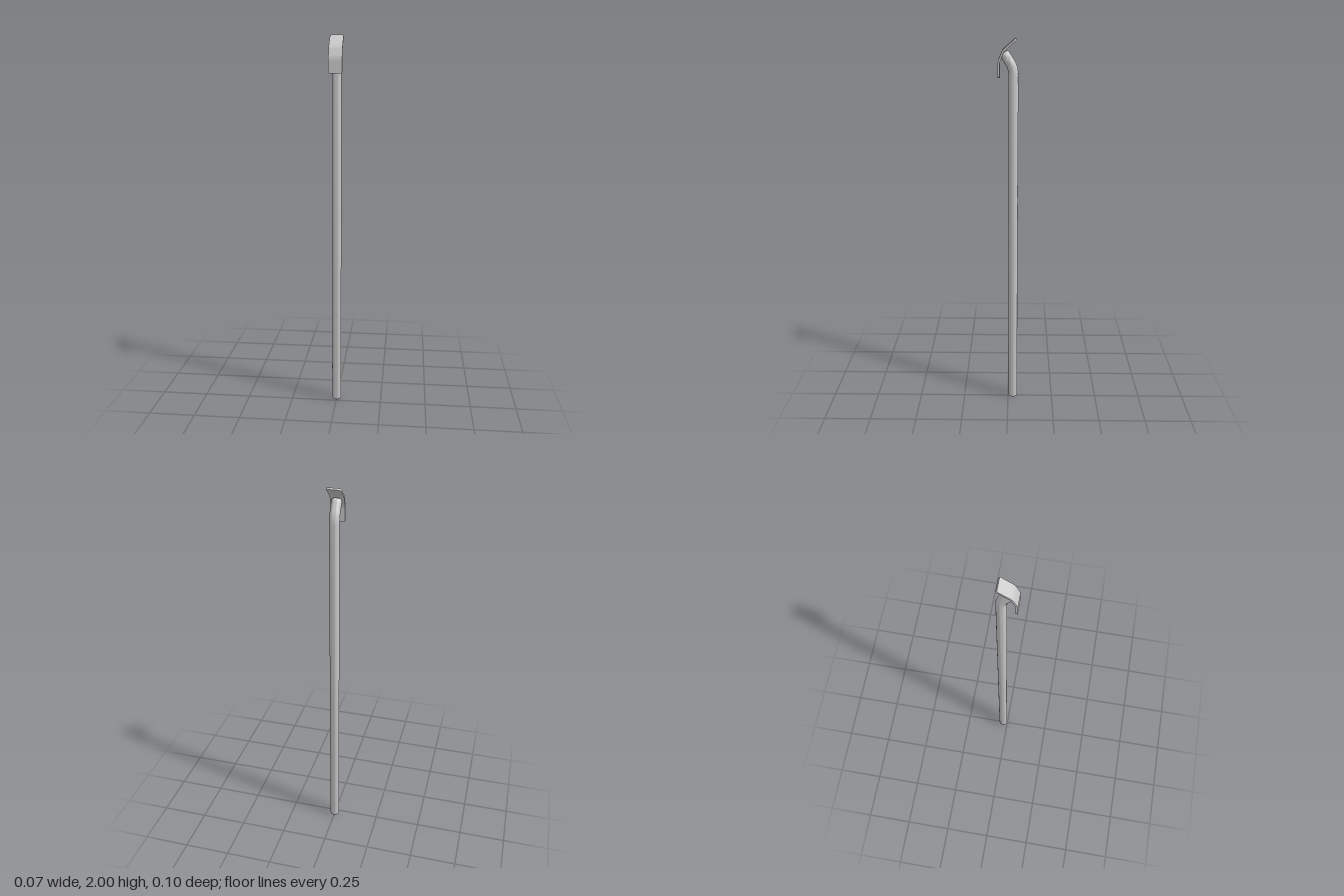
import * as THREE from 'three';
import { toCreasedNormals } from 'three/addons/utils/BufferGeometryUtils.js';

// Path in the yz plane through [z, y] corners, each corner rounded by r
function roundedPath(corners, r) {
  const pts = corners.map(([z, y]) => new THREE.Vector3(0, y, z));
  const path = new THREE.CurvePath();
  let from = pts[0];
  for (let i = 1; i < pts.length - 1; i++) {
    const toward = (p) => p.clone().sub(pts[i]).setLength(r).add(pts[i]);
    const a = toward(pts[i - 1]), b = toward(pts[i + 1]);
    path.add(new THREE.LineCurve3(from, a));
    path.add(new THREE.QuadraticBezierCurve3(a, pts[i], b));
    from = b;
  }
  path.add(new THREE.LineCurve3(from, pts[pts.length - 1]));
  return path;
}

// Bends a geometry standing along y (0 to path length) onto the path
function bend(geometry, path) {
  const pos = geometry.attributes.position, length = path.getLength();
  for (let i = 0; i < pos.count; i++) {
    const u = THREE.MathUtils.clamp(pos.getY(i) / length, 0, 1);
    const p = path.getPointAt(u), t = path.getTangentAt(u), z = pos.getZ(i);
    pos.setXYZ(i, pos.getX(i), p.y - t.z * z, p.z + t.y * z);
  }
  return toCreasedNormals(geometry, 0.6);
}

export function createModel() {
  const group = new THREE.Group();
  const material = new THREE.MeshStandardMaterial({ color: 0xcccccc });
  const add = (name, geometry) => {
    const mesh = new THREE.Mesh(geometry, material);
    mesh.name = name;
    group.add(mesh);
  };

  // Round pole with softened ends, its top leaning forward
  const polePath = roundedPath([[-0.027, 0], [-0.027, 1.856], [0.021, 1.931]], 0.03);
  const L = polePath.getLength(), R = 0.025, e = 0.012;
  const profile = [];
  const arc = [0, 1, 2, 3, 4].map((i) => (i / 4) * Math.PI / 2);
  profile.push(new THREE.Vector2(0, 0));
  for (const a of arc) profile.push(new THREE.Vector2(R - e + e * Math.sin(a), e - e * Math.cos(a)));
  for (let i = 0; i <= 16; i++) profile.push(new THREE.Vector2(R, 1.8 + (L - e - 1.8) * i / 16));
  for (const a of arc.slice(1)) profile.push(new THREE.Vector2(R - e + e * Math.cos(a), L - e + e * Math.sin(a)));
  profile.push(new THREE.Vector2(0, L));
  add('pole', bend(new THREE.LatheGeometry(profile, 24), polePath));

  // Thin bent plate with rounded corners across the tip of the pole
  const platePath = roundedPath([[0.045, 1.812], [0.045, 1.887], [0.023, 1.942], [-0.041, 1.996]], 0.012);
  const H = platePath.getLength(), W = 0.035, corner = 0.007, rows = 40;
  const plate = new THREE.BoxGeometry(2, rows, 0.01, 1, rows, 1);
  const pos = plate.attributes.position;
  for (let i = 0; i < pos.count; i++) {
    const row = Math.round(pos.getY(i) + rows / 2);
    const end = Math.min(row, rows - row);
    // the first four rows at each end trace the corner radius
    const a = Math.min(end / 4, 1) * Math.PI / 2;
    let y = corner * (1 - Math.cos(a));
    if (end > 4) y += (H / 2 - corner) * (end - 4) / (rows / 2 - 4);
    if (row > rows / 2) y = H - y;
    pos.setXYZ(i, pos.getX(i) * (W - corner + corner * Math.sin(a)), y, pos.getZ(i));
  }
  add('plate', bend(plate, platePath));

  return group;
}
